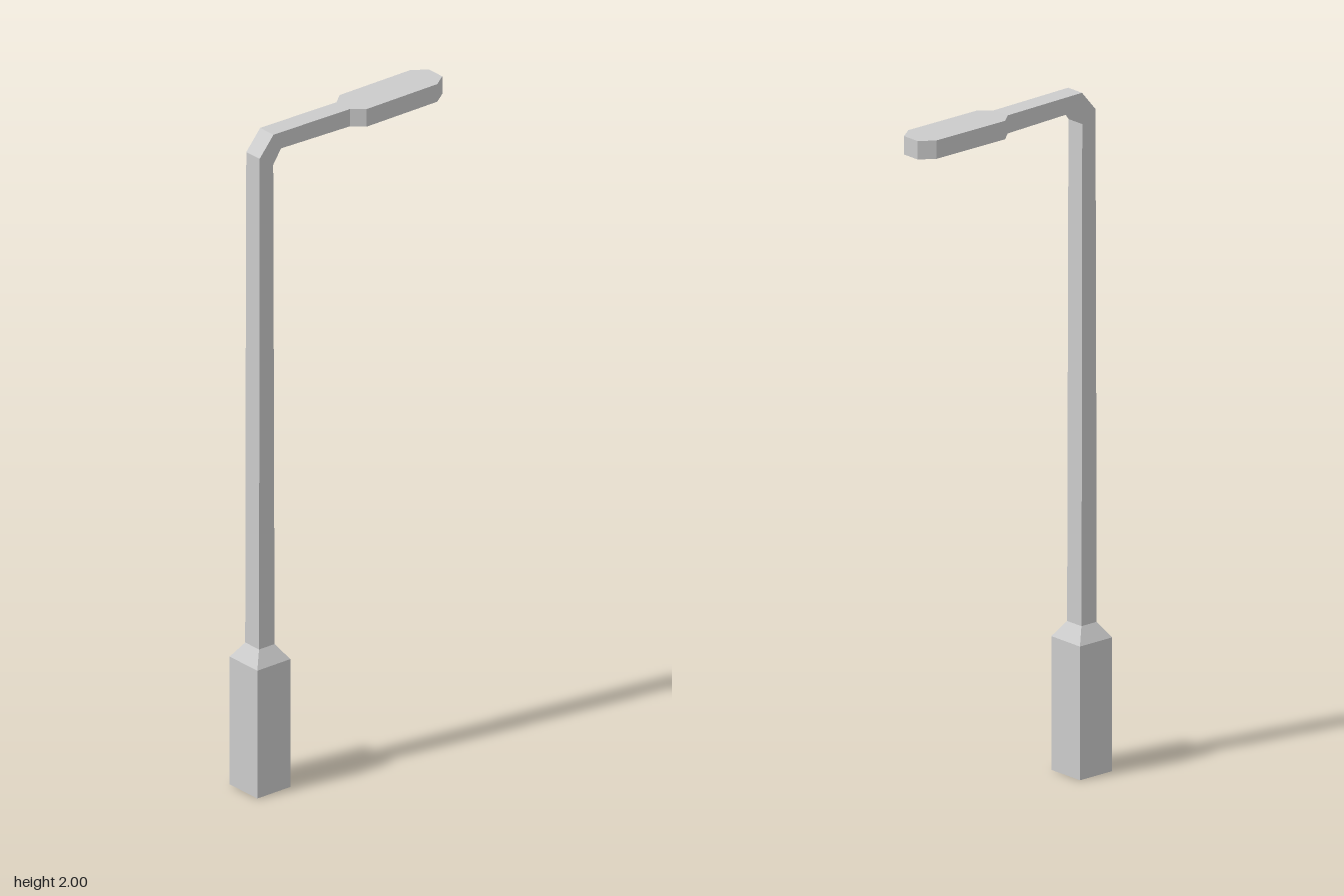
import * as THREE from 'three';

const material = new THREE.MeshStandardMaterial({ color: 0xcccccc, flatShading: true });

// Skins four-cornered sections [outerX, outerY, innerX, innerY, halfDepth]
function loft(name, sections, capStart, capEnd) {
  const rings = sections.map(([ox, oy, ix, iy, h]) => [
    [ox, oy, h], [ix, iy, h], [ix, iy, -h], [ox, oy, -h],
  ]);
  const positions = [];
  const quad = (a, b, c, d) => positions.push(...a, ...b, ...c, ...a, ...c, ...d);
  for (let k = 0; k < rings.length - 1; k++) {
    for (let j = 0; j < 4; j++) {
      const n = (j + 1) % 4;
      quad(rings[k][j], rings[k][n], rings[k + 1][n], rings[k + 1][j]);
    }
  }
  if (capStart) quad(...[...rings[0]].reverse());
  if (capEnd) quad(...rings[rings.length - 1]);
  const geometry = new THREE.BufferGeometry();
  geometry.setAttribute('position', new THREE.Float32BufferAttribute(positions, 3));
  geometry.computeVertexNormals();
  const mesh = new THREE.Mesh(geometry, material);
  mesh.name = name;
  return mesh;
}

export function createModel() {
  const group = new THREE.Group();
  group.name = 'streetLamp';

  // Sections shared where the parts meet
  const poleFoot = [-0.316, 0.437, -0.26, 0.437, 0.03];
  const elbowStart = [-0.313, 1.941, -0.264, 1.908, 0.029];
  const elbowEnd = [-0.263, 2.0, -0.236, 1.95, 0.029];
  const armEnd = [0.012, 1.996, 0.012, 1.943, 0.029];

  // Square base with a sloped shoulder
  group.add(loft('base', [
    [-0.347, 0, -0.228, 0, 0.06],
    [-0.347, 0.392, -0.228, 0.392, 0.06],
    poleFoot,
  ], true, false));

  // Slightly tapering pole
  group.add(loft('pole', [
    poleFoot,
    [-0.315, 1.06, -0.262, 1.06, 0.03],
    elbowStart,
  ], false, false));

  // Chamfered elbow and horizontal arm
  group.add(loft('arm', [elbowStart, elbowEnd, armEnd], false, false));

  // Flat lamp head with angled corners
  group.add(loft('lampHead', [
    armEnd,
    [0.048, 1.996, 0.048, 1.942, 0.059],
    [0.302, 1.996, 0.302, 1.942, 0.059],
    [0.345, 1.996, 0.345, 1.942, 0.029],
  ], false, true));

  return group;
}
